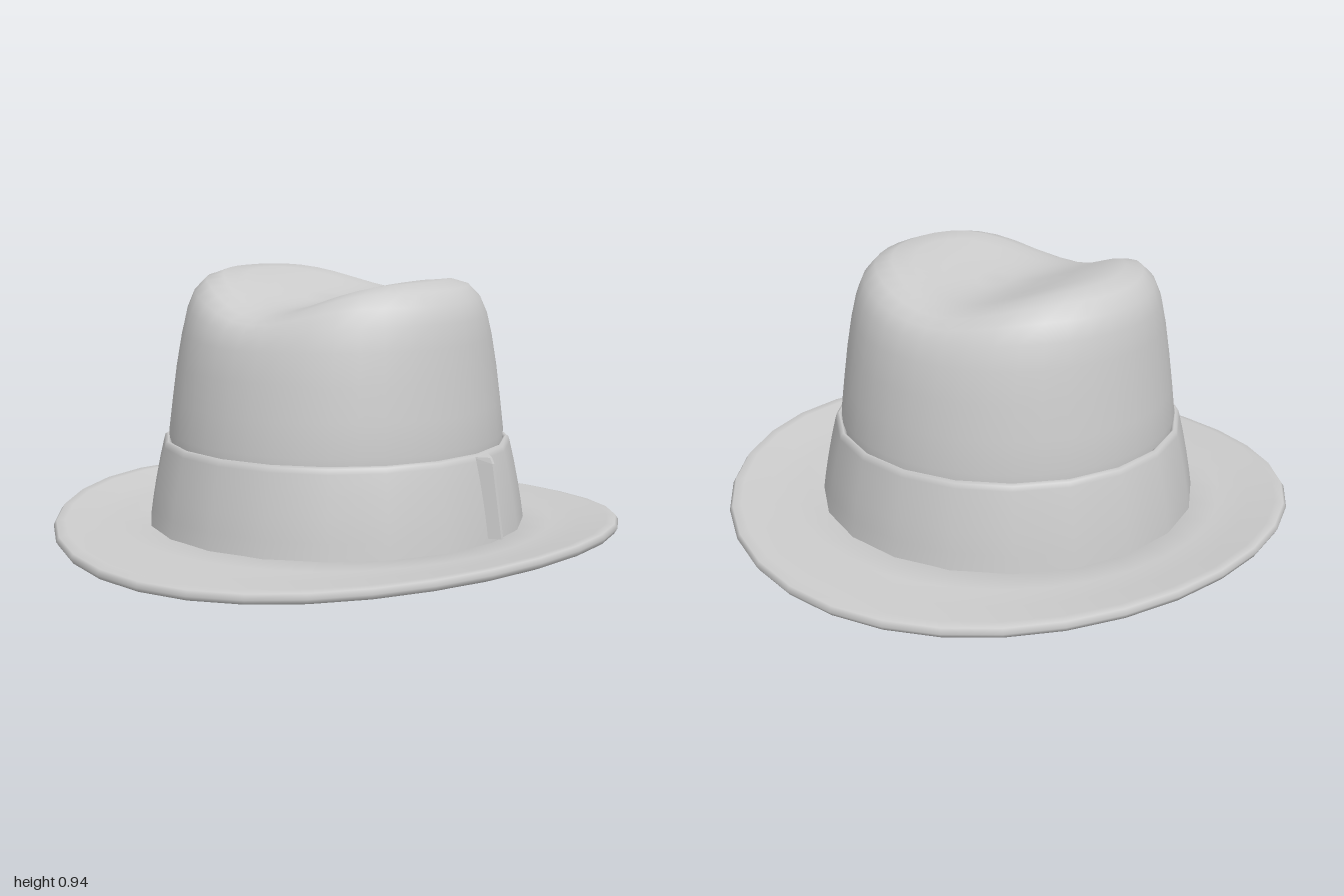
import * as THREE from 'three';
import { mergeVertices } from 'three/addons/utils/BufferGeometryUtils.js';
import { ConvexGeometry } from 'three/addons/geometries/ConvexGeometry.js';

const felt = new THREE.MeshStandardMaterial({ color: 0xcccccc, side: THREE.DoubleSide });

// Skins rings of points; point(row, angle) returns [x, y, z]
function skin(rows, segs, point) {
  const pos = [], index = [];
  for (let i = 0; i < rows; i++)
    for (let j = 0; j < segs; j++) pos.push(...point(i, (j / segs) * Math.PI * 2));
  for (let i = 0; i < rows - 1; i++)
    for (let j = 0; j < segs; j++) {
      const k = (j + 1) % segs;
      const a = i * segs + j, b = a + segs, c = i * segs + k, d = c + segs;
      index.push(a, b, c, c, b, d);
    }
  let geo = new THREE.BufferGeometry();
  geo.setAttribute('position', new THREE.Float32BufferAttribute(pos, 3));
  geo.setIndex(index);
  geo = mergeVertices(geo, 1e-4);
  geo.computeVertexNormals();
  return geo;
}

function part(name, geo, mat = felt) {
  const mesh = new THREE.Mesh(geo, mat);
  mesh.name = name;
  return mesh;
}

// Crown: [half width, half depth, height, crease depth]
function crown() {
  const rings = [
    [0.585, 0.585, 0.33, 0], [0.592, 0.588, 0.39, 0], [0.582, 0.57, 0.5, 0],
    [0.568, 0.552, 0.62, 0], [0.555, 0.525, 0.73, 0.01], [0.542, 0.498, 0.81, 0.035],
    [0.52, 0.466, 0.87, 0.06], [0.48, 0.42, 0.915, 0.085], [0.42, 0.36, 0.938, 0.095],
    [0.34, 0.29, 0.943, 0.095], [0.23, 0.2, 0.943, 0.095], [0.11, 0.1, 0.943, 0.095],
    [0, 0, 0.943, 0.095],
  ];
  return skin(rings.length, 40, (i, a) => {
    const [w, d, y, depth] = rings[i];
    const x = w * Math.cos(a), z = d * Math.sin(a);
    const valley = Math.abs(x) < 0.42 ? 0.5 + 0.5 * Math.cos((Math.PI * x) / 0.42) : 0;
    const lift = THREE.MathUtils.smoothstep(y, 0.6, 0.94);
    return [x, y - depth * valley * (1 + 0.5 * z) - 0.018 * x * lift, z];
  });
}

// Brim: closed section of [outward fraction, offset], rising at the sides
function brim() {
  const section = [
    [0, -0.015], [0.3, -0.018], [0.6, -0.02], [0.88, -0.022], [0.97, -0.016], [1, 0],
    [0.97, 0.017], [0.88, 0.022], [0.6, 0.019], [0.3, 0.017], [0, 0.018], [0, -0.015],
  ];
  return skin(section.length, 32, (i, a) => {
    const [t, off] = section[i];
    const r = 0.655 + 0.345 * t, side = Math.cos(a) ** 2;
    const y = 0.055 + side * 0.045 * t * t - (1 - side) * 0.033 * t + off;
    return [r * Math.cos(a), y, r * Math.sin(a)];
  });
}

// Ribbon band with a folded top edge
function band() {
  const profile = [
    [0.668, 0.06], [0.658, 0.13], [0.646, 0.2], [0.63, 0.28], [0.615, 0.345],
    [0.61, 0.362], [0.6, 0.368], [0.59, 0.36], [0.585, 0.33],
  ];
  return skin(profile.length, 20, (i, a) => {
    const [r, y] = profile[i];
    return [r * Math.cos(a), y, r * Math.sin(a)];
  });
}

// Pressed ribbon fold on the left side, widening downwards
function ribbonFold() {
  const points = [];
  for (const [y, inner, outer] of [[0.36, 0.605, 0.652], [0.34, 0.61, 0.662], [0.2, 0.635, 0.68], [0.09, 0.655, 0.702]])
    points.push(
      new THREE.Vector3(inner - 0.01, y, 0.025),
      new THREE.Vector3(outer, y, 0),
      new THREE.Vector3(outer, y, -0.012),
      new THREE.Vector3(inner - 0.01, y, -0.07),
    );
  return new ConvexGeometry(points);
}

export function createModel() {
  const hat = new THREE.Group();
  hat.name = 'hat';
  hat.add(
    part('crown', crown()),
    part('brim', brim()),
    part('hatBand', band()),
    part('ribbonFold', ribbonFold()),
  );
  return hat;
}
